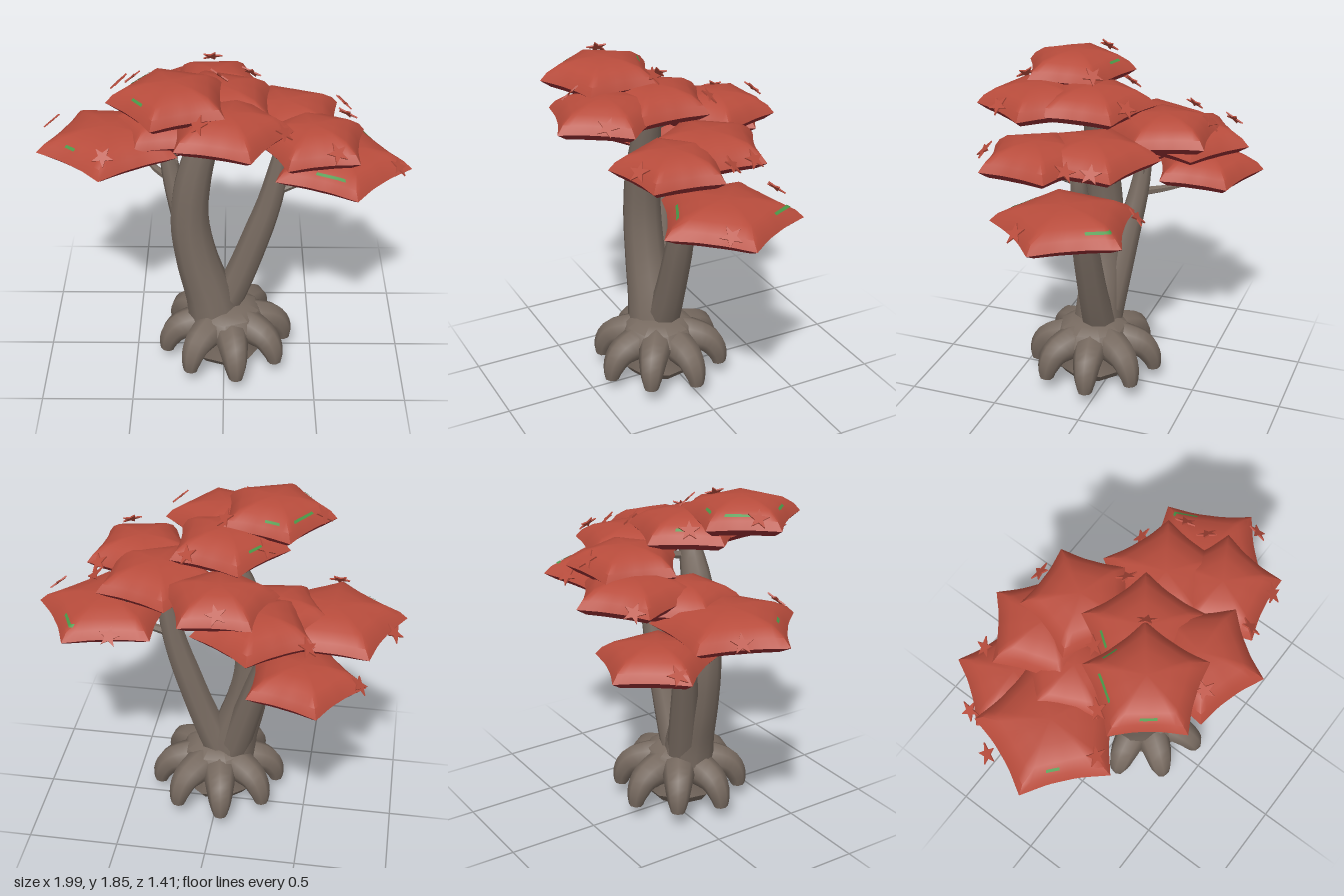
import * as THREE from 'three';
import { toCreasedNormals } from 'three/addons/utils/BufferGeometryUtils.js';

const mat = (name, color, side = THREE.FrontSide) => {
  const m = new THREE.MeshStandardMaterial({ color, side });
  m.name = name;
  return m;
};
const RAD = Math.PI / 180;

// Foliage pads: x, z, base y, tip radius, angle of one tip in degrees
const PADS = {
  crown: [-0.26, 0.28, 1.70, 0.325, 34],
  front: [0.02, 0.39, 1.59, 0.33, -2],
  middle: [-0.03, 0.1, 1.595, 0.335, 36],
  leftFront: [0.45, 0.23, 1.44, 0.315, 43],
  leftLow: [0.61, 0.01, 1.19, 0.39, 7],
  leftBack: [0.32, -0.03, 1.44, 0.345, -34],
  back: [-0.05, -0.29, 1.48, 0.315, 15],
  rightBack: [-0.24, -0.37, 1.385, 0.33, -90],
  rightLow: [-0.49, -0.4, 1.12, 0.325, -108],
  rightSide: [-0.61, -0.05, 1.275, 0.395, 22],
  rightInner: [-0.33, -0.12, 1.33, 0.3, 190],
};

// Concave five-pointed outline swept through rows of [scale, height]
function padPatch([px, pz, y0, R, tip], rows, from = 0, to = 360) {
  const n = Math.max(8, Math.round((to - from) / 6));
  const pos = [], index = [];
  rows.forEach(([s, h]) => {
    for (let j = 0; j <= n; j++) {
      const a = from + (to - from) * j / n;
      const u = ((a % 72) + 72) % 72 / 72;
      const star = 0.75 + 0.25 * Math.pow(Math.abs(2 * u - 1), 2.4);
      const r = R * s * THREE.MathUtils.lerp(0.83, star, s);
      const t = (a + tip) * RAD;
      pos.push(px + r * Math.cos(t), y0 + h, pz + r * Math.sin(t));
    }
  });
  for (let i = 0; i < rows.length - 1; i++) {
    for (let j = 0; j < n; j++) {
      const a = i * (n + 1) + j, b = a + n + 1;
      index.push(a, b, a + 1, a + 1, b, b + 1);
    }
  }
  const g = new THREE.BufferGeometry();
  g.setAttribute('position', new THREE.Float32BufferAttribute(pos, 3));
  g.setIndex(index);
  return toCreasedNormals(g, 1);
}

// Tapering limb through points [x, y, z, radius] with a flat cut end
function limbGeometry(points, sides = 8, segs = 14) {
  const curve = new THREE.CatmullRomCurve3(points.map(p => new THREE.Vector3(p[0], p[1], p[2])));
  const g = new THREE.TubeGeometry(curve, segs, 1, sides);
  const p = g.attributes.position, v = new THREE.Vector3();
  for (let i = 0; i < p.count; i++) {
    const ring = Math.floor(i / (sides + 1));
    const c = curve.getPointAt(ring / segs);
    const f = ring / segs * (points.length - 1);
    const k = Math.min(Math.floor(f), points.length - 2);
    const r = ring === segs ? 0 : THREE.MathUtils.lerp(points[k][3], points[k + 1][3], f - k);
    v.fromBufferAttribute(p, i).sub(c).multiplyScalar(r);
    // the last ring folds back to close the end
    if (ring === segs) c.lerp(curve.getPointAt((segs - 1) / segs), 0.6);
    v.add(c);
    p.setXYZ(i, v.x, v.y, v.z);
  }
  return toCreasedNormals(g, 0.9);
}

export function createModel() {
  const bark = mat('bark', 0x776a60);
  const red = mat('red leaves', 0xb84c3c);
  const rimRed = mat('dark red rim', 0x932d31);
  const green = mat('green underside', 0x4c9a55);
  const streakGreen = mat('green streak', 0x4a9848, THREE.DoubleSide);

  const model = new THREE.Group();
  model.name = 'tree';
  const add = (parent, name, geometry, material) => {
    const m = new THREE.Mesh(geometry, material);
    m.name = name;
    parent.add(m);
    return m;
  };

  // Rounded root ball and flared hub
  const ball = [[0, 0.005], [0.17, 0.05], [0.21, 0.1], [0.19, 0.2], [0.22, 0.27], [0.19, 0.34], [0.13, 0.37], [0, 0.38]];
  const ballGeo = new THREE.LatheGeometry(ball.map(p => new THREE.Vector2(...p)), 9);
  add(model, 'rootBall', toCreasedNormals(ballGeo, 0.7), bark).position.set(0.01, 0, 0.09);

  // Eight thick arching roots
  const roots = new THREE.Group();
  roots.name = 'roots';
  model.add(roots);
  for (let i = 0; i < 8; i++) {
    const g = limbGeometry([
      [0.05, 0.26, 0, 0.09], [0.18, 0.255, 0, 0.096], [0.275, 0.225, 0, 0.082],
      [0.325, 0.15, 0, 0.062], [0.34, 0.06, 0, 0.03]], 8, 14);
    const root = add(roots, 'root', g, bark);
    root.position.set(0.01, i % 2 ? 0.008 : -0.006, 0.08);
    root.rotation.y = -(80 + i * 45) * RAD;
  }

  // Three trunks
  add(model, 'mainTrunk', limbGeometry([
    [-0.05, 0.24, 0.09, 0.15], [-0.08, 0.42, 0.09, 0.13], [-0.15, 0.68, 0.09, 0.115],
    [-0.185, 0.92, 0.09, 0.107], [-0.165, 1.16, 0.095, 0.098],
    [-0.105, 1.4, 0.1, 0.08], [-0.02, 1.62, 0.1, 0.05]], 10, 20), bark);
  add(model, 'leftTrunk', limbGeometry([
    [-0.03, 0.28, 0.06, 0.1], [0.07, 0.5, 0.06, 0.085], [0.17, 0.78, 0.06, 0.077],
    [0.26, 1.08, 0.06, 0.06], [0.325, 1.47, 0.06, 0.028]]), bark);
  add(model, 'backTrunk', limbGeometry([
    [-0.08, 0.35, 0.04, 0.09], [-0.15, 0.6, 0, 0.08], [-0.22, 0.85, -0.04, 0.07],
    [-0.28, 1.08, -0.08, 0.055], [-0.325, 1.35, -0.11, 0.036]]), bark);

  // Thin twigs: start, middle, end
  const twigs = [
    [[0.28, 1.09, 0.06], [0.42, 1.135, 0.04], [0.64, 1.165, 0.01]],
    [[0.31, 1.36, 0.05], [0.37, 1.39, -0.06], [0.47, 1.44, -0.23]],
    [[0.31, 1.34, 0.08], [0.36, 1.39, 0.2], [0.42, 1.46, 0.36]],
    [[-0.28, 1.06, -0.1], [-0.38, 1.06, -0.22], [-0.51, 1.1, -0.42]],
    [[-0.25, 1.19, -0.09], [-0.42, 1.195, -0.1], [-0.63, 1.245, -0.12]],
    [[-0.32, 1.27, -0.11], [-0.34, 1.32, -0.2], [-0.37, 1.4, -0.3]],
    [[-0.06, 1.5, 0.1], [-0.1, 1.56, 0.14], [-0.17, 1.66, 0.2]],
    [[-0.05, 1.5, 0.08], [-0.04, 1.52, -0.02], [-0.04, 1.55, -0.15]],
  ];
  twigs.forEach(pts => add(model, 'twig',
    limbGeometry(pts.map((p, i) => [...p, [0.026, 0.017, 0.008][i]]), 6, 8), bark));

  // Foliage pads: flat underside, slanted rim, domed top
  for (const [name, pad] of Object.entries(PADS)) {
    const g = new THREE.Group();
    g.name = name + 'Pad';
    model.add(g);
    add(g, 'underside', padPatch(pad, [[0, 0.012], [0.5, 0.01], [0.85, 0]]), green);
    add(g, 'rim', padPatch(pad, [[0.85, 0], [1, 0.037]]), rimRed);
    add(g, 'dome', padPatch(pad, [[1, 0.037], [0.9, 0.08], [0.72, 0.12], [0.42, 0.145], [0, 0.155]]), red);
  }

  // Green slivers on the domes: pad, start and end angle
  [['crown', 95, 118], ['crown', 165, 205], ['crown', 225, 245], ['leftLow', 80, 115], ['leftLow', 285, 310],
    ['rightSide', 110, 125], ['middle', 170, 195], ['rightLow', 190, 210]].forEach(([name, a, b]) =>
    add(model, 'greenSliver', padPatch(PADS[name], [[0.845, 0.097], [0.8, 0.108]], a, b), streakGreen));

  // Little star leaves resting on the pad edges
  const star = new THREE.Shape();
  for (let i = 0; i < 10; i++) {
    const r = i % 2 ? 0.023 : 0.058, a = i * Math.PI / 5;
    star[i ? 'lineTo' : 'moveTo'](r * Math.sin(a), r * Math.cos(a));
  }
  const starGeo = new THREE.ExtrudeGeometry(star, { depth: 0.008, bevelEnabled: false });
  [['rightSide', -0.93, -0.2], ['rightSide', -0.62, 0.24], ['rightLow', -0.78, -0.46],
    ['rightBack', -0.52, -0.54], ['back', -0.07, -0.53], ['leftLow', 0.52, -0.33],
    ['leftLow', 0.91, 0.15], ['leftBack', 0.63, -0.13], ['middle', 0.14, -0.14],
    ['middle', -0.25, -0.04], ['leftFront', 0.64, 0.0], ['leftFront', 0.56, 0.46],
    ['front', 0.29, 0.5], ['front', -0.12, 0.52], ['crown', -0.52, 0.19],
    ['crown', -0.02, 0.1]].forEach(([name, x, z], i) => {
    const [px, pz, y0, R] = PADS[name];
    const s = add(model, 'starLeaf', starGeo, red);
    const d = new THREE.Vector3(x - px, 0, z - pz);
    const reach = d.length() / R;
    d.normalize();
    s.position.set(x, y0 + 0.175 - 0.1 * reach * reach, z);
    s.lookAt(x + d.x, s.position.y + 1, z + d.z);
    s.rotateZ(i * 0.7);
  });

  return model;
}
